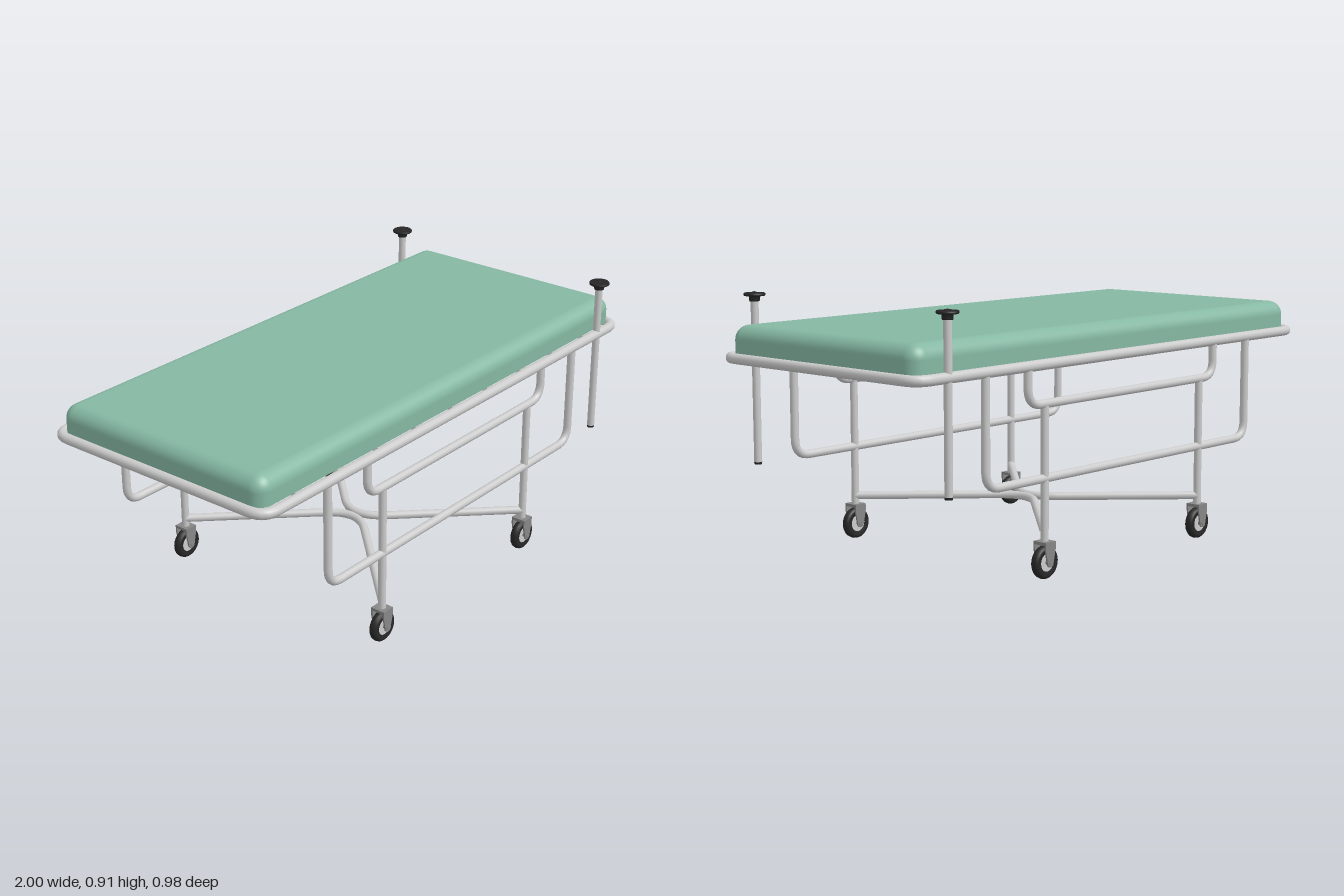
import * as THREE from 'three';
import { RoundedBoxGeometry } from 'three/addons/geometries/RoundedBoxGeometry.js';

const V = (x, y, z) => new THREE.Vector3(x, y, z);
const mat = (color) => new THREE.MeshStandardMaterial({ color });
const steel = mat(0xcccccc);
const forkGrey = mat(0x868686);
const black = mat(0x262626);
const green = mat(0x85b8a3);

function add(parent, name, geometry, material, x = 0, y = 0, z = 0) {
  const mesh = new THREE.Mesh(geometry, material);
  mesh.name = name;
  mesh.position.set(x, y, z);
  parent.add(mesh);
  return mesh;
}

// Bent tube through the given points, with corners rounded off at distance r
function bentTube(points, r, radius, segments, closed = false) {
  const path = new THREE.CurvePath();
  const n = points.length;
  const toward = (a, b) => a.clone().add(b.clone().sub(a).setLength(r));
  let last = closed ? toward(points[0], points[1]) : points[0];
  for (let i = 1; i < (closed ? n + 1 : n - 1); i++) {
    const p = points[i % n];
    const before = toward(p, points[i - 1]);
    const after = toward(p, points[(i + 1) % n]);
    path.add(new THREE.LineCurve3(last, before));
    path.add(new THREE.QuadraticBezierCurve3(before, p, after));
    last = after;
  }
  if (!closed) path.add(new THREE.LineCurve3(last, points[n - 1]));
  return new THREE.TubeGeometry(path, segments, radius, 14, closed);
}

// Cushion: rounded box whose lower half is flattened into a plane base
function cushionGeometry(width, height, depth, radius) {
  const full = 2 * height;
  const g = new RoundedBoxGeometry(width, full, depth, 6, radius);
  const p = g.attributes.position;
  const nrm = g.attributes.normal;
  for (let i = 0; i < p.count; i += 3) {
    const below = [0, 1, 2].every((k) => p.getY(i + k) < 0);
    for (let k = i; k < i + 3; k++) {
      if (p.getY(k) < 0) p.setY(k, 0);
      if (below) nrm.setXYZ(k, 0, -1, 0);
    }
  }
  return g;
}

// Side plate of the caster fork, wide at the top and rounded at the axle
function forkPlateGeometry() {
  const s = new THREE.Shape();
  s.moveTo(-0.024, 0.068);
  s.lineTo(-0.024, 0.045);
  s.lineTo(-0.014, 0);
  s.absarc(0, 0, 0.014, Math.PI, 2 * Math.PI, false);
  s.lineTo(0.024, 0.045);
  s.lineTo(0.024, 0.068);
  s.closePath();
  return new THREE.ExtrudeGeometry(s, { depth: 0.006, bevelEnabled: false, curveSegments: 10 });
}

function caster() {
  const g = new THREE.Group();
  g.name = 'caster';
  const profile = [
    [0.03, -0.012], [0.044, -0.015], [0.05, -0.0135], [0.0545, -0.008], [0.056, 0],
    [0.0545, 0.008], [0.05, 0.0135], [0.044, 0.015], [0.03, 0.012],
  ].map(([r, y]) => new THREE.Vector2(r, y));
  add(g, 'tyre', new THREE.LatheGeometry(profile, 32), black).rotation.x = Math.PI / 2;
  add(g, 'hub', new THREE.CylinderGeometry(0.031, 0.031, 0.021, 28), steel).rotation.x = Math.PI / 2;
  add(g, 'axle', new THREE.CylinderGeometry(0.007, 0.007, 0.06, 14), forkGrey).rotation.x = Math.PI / 2;
  for (const z of [-0.0275, 0.0215]) add(g, 'forkPlate', forkPlateGeometry(), forkGrey, 0, 0, z);
  add(g, 'forkBridge', new THREE.BoxGeometry(0.048, 0.01, 0.055), forkGrey, 0, 0.065, 0);
  return g;
}

// Upright post with a round padded cap
function post() {
  const g = new THREE.Group();
  g.name = 'post';
  add(g, 'postTube', new THREE.CylinderGeometry(0.0135, 0.0135, 0.55, 18), steel, 0, 0.61, 0);
  add(g, 'postFoot', new THREE.CylinderGeometry(0.0138, 0.0125, 0.008, 18), black, 0, 0.332, 0);
  const cap = [
    [0, 0.88], [0.017, 0.88], [0.018, 0.884], [0.018, 0.897], [0.034, 0.898],
    [0.0365, 0.901], [0.0365, 0.905], [0.034, 0.908], [0.009, 0.909], [0.006, 0.912], [0, 0.913],
  ].map(([r, y]) => new THREE.Vector2(r, y));
  add(g, 'postCap', new THREE.LatheGeometry(cap, 28), black);
  return g;
}

export function createModel() {
  const model = new THREE.Group();
  model.name = 'stretcherTrolley';
  const Z = 0.452;
  const frameY = 0.703;

  // Bed: mattress, rounded frame and cross slats
  add(model, 'mattress', cushionGeometry(1.95, 0.097, 0.87, 0.05), green, 0, 0.715, 0);
  const X = 0.982;
  add(model, 'bedFrame', bentTube(
    [V(-X, frameY, -Z), V(-X, frameY, Z), V(X, frameY, Z), V(X, frameY, -Z)],
    0.06, 0.018, 320, true), steel);
  for (let i = 0; i < 9; i++) {
    add(model, 'slat', new THREE.BoxGeometry(0.035, 0.014, 2 * Z), steel, -0.8 + i * 0.2, 0.706, 0);
  }

  // U-shaped rails, legs, casters and posts on both sides
  for (const z of [-Z, Z]) {
    for (const [name, x, y] of [['lowerRail', 0.686, 0.333], ['upperRail', 0.49, 0.576]]) {
      add(model, name, bentTube(
        [V(-x, frameY, z), V(-x, y, z), V(x, y, z), V(x, frameY, z)], 0.06, 0.0145, 140), steel);
    }
    for (const x of [-0.41, 0.41]) {
      add(model, 'leg', new THREE.CylinderGeometry(0.0135, 0.0135, 0.456, 18), steel, x, 0.348, z);
      const wheel = caster();
      wheel.position.set(x, 0.056, z);
      model.add(wheel);
    }
    const p = post();
    p.position.set(0.85, 0, z);
    model.add(p);
  }

  // Two V-shaped braces that meet back to back in the middle
  for (const s of [-1, 1]) {
    add(model, 'crossBrace', bentTube(
      [V(s * 0.41, 0.155, Z), V(s * -0.03, 0.155, 0), V(s * 0.41, 0.155, -Z)],
      0.135, 0.0145, 60), steel);
  }
  return model;
}
